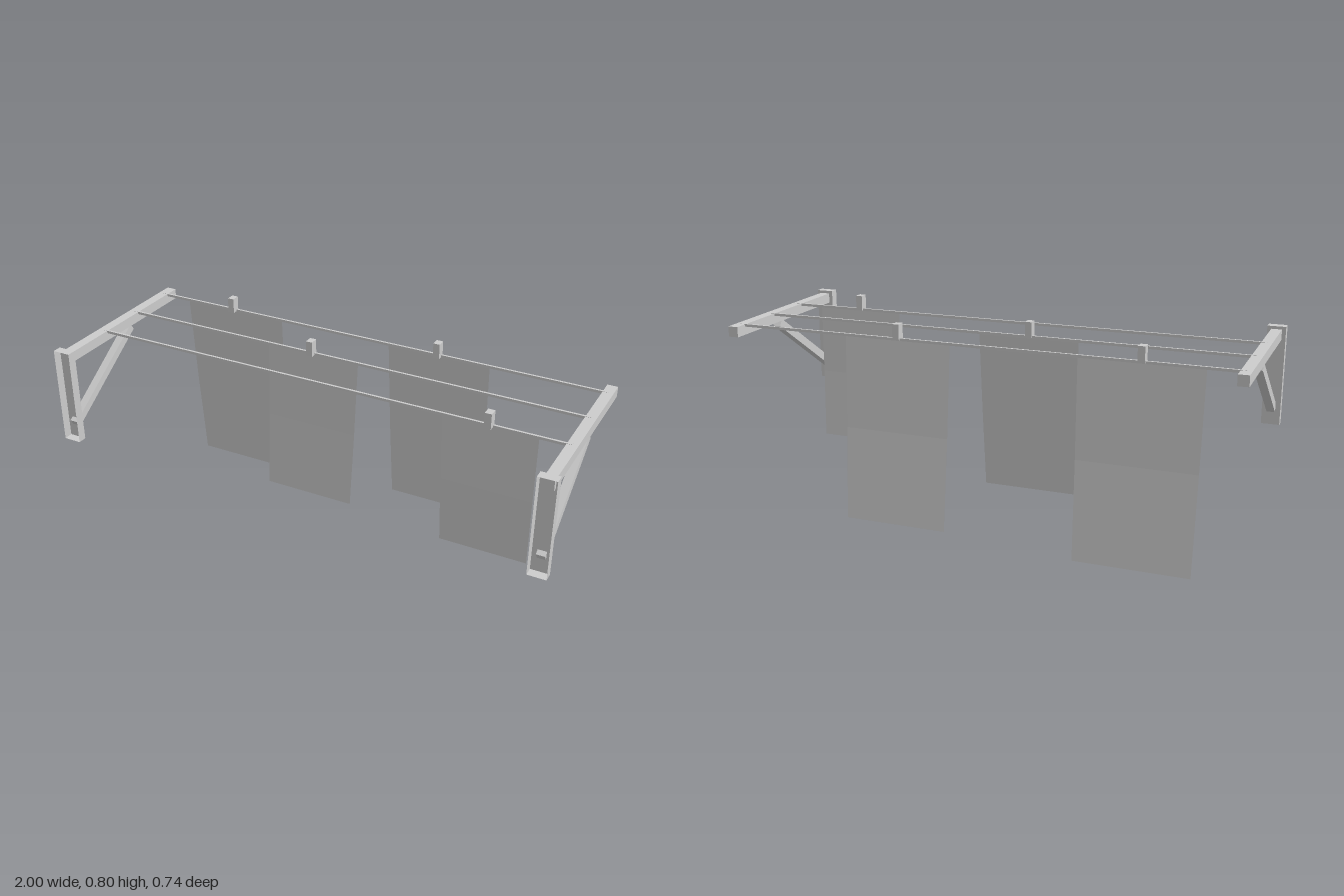
import * as THREE from 'three';

export function createModel() {
  const root = new THREE.Group();
  const grey = new THREE.MeshStandardMaterial({ color: 0xcccccc, side: THREE.DoubleSide });
  grey.name = 'lightGrey';

  const add = (parent, name, geometry, x = 0, y = 0, z = 0) => {
    const mesh = new THREE.Mesh(geometry, grey);
    mesh.name = name;
    mesh.position.set(x, y, z);
    parent.add(mesh);
    return mesh;
  };

  // Wall post: a thin tray, open at the front
  const postGeometry = () => {
    const g = new THREE.BoxGeometry(0.07, 0.385, 0.036);
    const index = Array.from(g.index.array);
    index.splice(24, 6); // drop the +z side
    g.setIndex(index);
    g.clearGroups();
    return g;
  };

  // Brackets: post, arm and diagonal strut, one at each end
  for (const side of [-1, 1]) {
    const bracket = new THREE.Group();
    bracket.name = side > 0 ? 'leftBracket' : 'rightBracket';
    bracket.position.x = side * 0.965;
    add(bracket, 'post', postGeometry(), 0, 0.5635, 0.351);
    add(bracket, 'arm', new THREE.BoxGeometry(0.04, 0.04, 0.718), 0, 0.725, -0.009);
    const low = new THREE.Vector2(0.34, 0.434), high = new THREE.Vector2(-0.055, 0.697);
    const strut = add(bracket, 'strut', new THREE.BoxGeometry(0.032, 0.032, low.distanceTo(high)),
      0, (low.y + high.y) / 2, (low.x + high.x) / 2);
    strut.rotation.x = Math.atan2(high.y - low.y, low.x - high.x);
    root.add(bracket);
  }

  // Three straight lines resting in the arms
  const lineZ = [-0.311, -0.102, 0.106];
  for (const z of lineZ) add(root, 'line', new THREE.BoxGeometry(1.93, 0.01, 0.009), 0, 0.741, z);

  // Hanging cloths, each with a clip: [line, left x, right x, bottom y, lean, clip x]
  const cloths = [
    [0, -0.835, -0.386, 0.0, -0.055, -0.613],
    [1, -0.324, 0.064, 0.13, 0.042, -0.133],
    [0, 0.093, 0.512, 0.037, -0.059, 0.303],
    [2, 0.495, 0.85, 0.197, -0.026, 0.672],
  ];
  for (const [line, x0, x1, bottom, lean, clipX] of cloths) {
    const top = 0.742, z = lineZ[line], mid = (x0 + x1) / 2;
    const g = new THREE.PlaneGeometry(x1 - x0, top - bottom, 1, 2).toNonIndexed();
    const p = g.attributes.position;
    for (let i = 0; i < p.count; i++) {
      const t = 0.5 - p.getY(i) / (top - bottom); // 0 at the line, 1 at the hem
      p.setX(i, p.getX(i) * (1 - 0.04 * t));
      p.setZ(i, lean * (0.7 * t + 0.3 * t * t));
    }
    g.computeVertexNormals();
    add(root, 'cloth', g, mid, (top + bottom) / 2, z);
    add(root, 'clip', new THREE.BoxGeometry(0.026, 0.06, 0.034), clipX, 0.768, z + 0.007);
  }
  return root;
}
